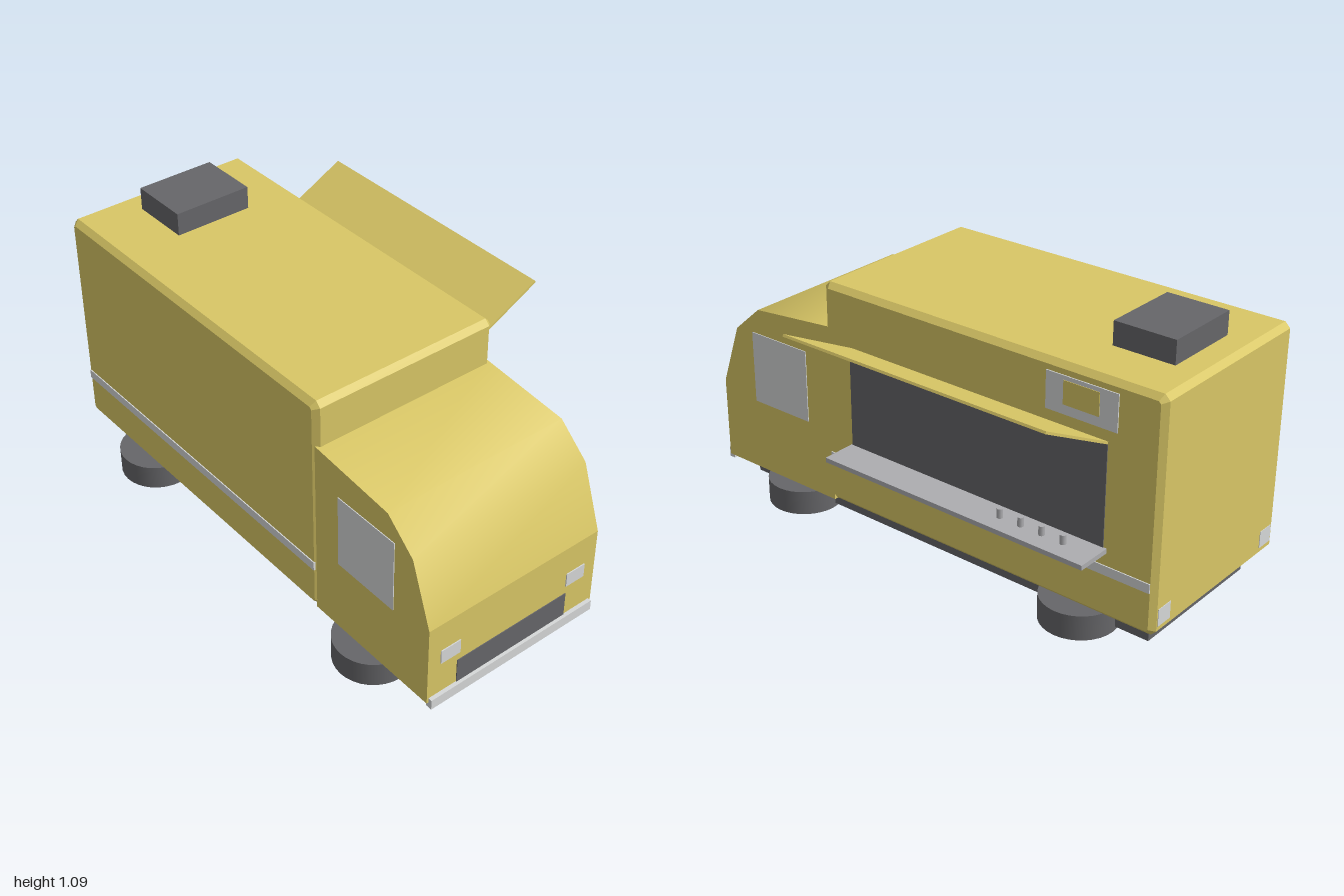
import * as THREE from 'three';
import { toCreasedNormals } from 'three/addons/utils/BufferGeometryUtils.js';

const material = (name, color, side = THREE.FrontSide) => {
  const m = new THREE.MeshStandardMaterial({ color, side });
  m.name = name;
  return m;
};

export function createModel() {
  const yellow = material('yellow paint', 0xd9c766);
  const dark = material('dark grey', 0x666669);
  const light = material('light grey', 0xd6d8d8, THREE.DoubleSide);
  const steel = material('steel grey', 0xadadb0);

  const model = new THREE.Group();
  model.name = 'foodTruck';
  const add = (name, geometry, mat, x = 0, y = 0, z = 0) => {
    const mesh = new THREE.Mesh(geometry, mat);
    mesh.name = name;
    mesh.position.set(x, y, z);
    model.add(mesh);
    return mesh;
  };
  // Box given by its limits on each axis
  const box = (name, mat, [x0, x1], [y0, y1], [z0, z1]) =>
    add(name, new THREE.BoxGeometry(x1 - x0, y1 - y0, z1 - z0), mat,
      (x0 + x1) / 2, (y0 + y1) / 2, (z0 + z1) / 2);
  const shapeOf = (points) => new THREE.Shape(points.map(([x, y]) => new THREE.Vector2(x, y)));

  // Cargo body with chamfers on every edge
  const c = 0.02, X0 = -1, X1 = 0.435, Y0 = 0.133, Y1 = 1, back = -0.247, front = 0.503;
  const rear = shapeOf([
    [X0 + c, Y0 + c], [X1 - c, Y0 + c], [X1 - c, Y1 - c], [X0 + c, Y1 - c],
  ]);
  const octagon = shapeOf([
    [X0 + c, Y0], [X1 - c, Y0], [X1, Y0 + c], [X1, Y1 - c],
    [X1 - c, Y1], [X0 + c, Y1], [X0, Y1 - c], [X0, Y0 + c],
  ]);
  rear.name = 'bodyFace';
  const bodyGeometry = new THREE.ExtrudeGeometry(octagon, {
    depth: front - back - 2 * c, bevelEnabled: true, bevelSegments: 1,
    bevelSize: c, bevelThickness: c, bevelOffset: -c,
  });
  add('cargoBody', bodyGeometry, yellow, 0, 0, back + c);

  // Cab: upright lower half and a rounded windscreen and roof above
  box('cabLower', yellow, [0.42, 0.985], [0.13, 0.45], [-0.24, 0.497]);
  const cabProfile = shapeOf([
    [0.42, 0.45], [0.985, 0.45], [0.9, 0.69], [0.78, 0.795], [0.42, 0.83],
  ]);
  const cabGeometry = new THREE.ExtrudeGeometry(cabProfile, { depth: 0.737, bevelEnabled: false });
  add('cabUpper', toCreasedNormals(cabGeometry, 0.7), yellow, 0, 0, -0.24);

  // Chassis, bumper and grille
  box('chassis', dark, [-0.93, 0.91], [0.05, 0.132], [-0.16, 0.42]);
  box('bumper', light, [0.975, 1], [0.11, 0.15], [-0.23, 0.49]);
  box('grille', dark, [0.982, 0.988], [0.15, 0.247], [-0.11, 0.373]);

  // Lights in mirrored pairs about the body's centre line
  const mid = 0.128;
  for (const s of [-1, 1]) {
    const span = (a, b) => [mid + s * a, mid + s * b].sort((p, q) => p - q);
    box('headlight', light, [0.982, 0.989], [0.28, 0.335], span(0.235, 0.317));
    box('tailLight', light, [-1.002, -0.995], [0.17, 0.235], span(0.28, 0.35));
  }

  // Side windows and trim stripes
  for (const [cabZ, bodyZ] of [[0.497, front], [-0.24, back]]) {
    box('cabWindow', light, [0.54, 0.815], [0.415, 0.698], [cabZ - 0.003, cabZ + 0.003]);
    box('trimStripe', light, [-0.98, 0.418], [0.3, 0.335], [bodyZ - 0.004, bodyZ + 0.004]);
  }

  // Flat-lying wheels with upright hub discs
  for (const x of [-0.655, 0.64]) {
    for (const s of [-1, 1]) {
      add('wheel', new THREE.CylinderGeometry(0.142, 0.142, 0.095, 32), dark, x, 0.0825, 0.13 + s * 0.302);
      add('hubDisc', new THREE.CircleGeometry(0.079, 24), light, x, 0.079, 0.131 + s * 0.351);
    }
  }

  // Roof vent
  box('roofVent', dark, [-0.893, -0.655], [0.99, 1.087], [-0.04, 0.265]);

  // Serving hatch, counter and raised awning
  box('servingHatch', dark, [-0.795, 0.31], [0.4, 0.78], [back - 0.003, back + 0.003]);
  box('counter', steel, [-0.808, 0.315], [0.382, 0.4], [-0.383, -0.24]);
  const rise = 0.165, run = 0.325;
  const awning = add('awning', new THREE.BoxGeometry(1.095, 0.009, Math.hypot(rise, run)), yellow,
    -0.248, 0.862, -0.411);
  awning.rotation.x = Math.atan2(rise, run);

  // Condiment bottles on the counter
  for (let i = 0; i < 4; i++) {
    add('bottle', new THREE.CylinderGeometry(0.011, 0.011, 0.035, 12), steel, -0.42 - i * 0.087, 0.4175, -0.312);
  }

  // Menu board beside the hatch
  box('menuBoard', light, [-0.83, -0.55], [0.825, 0.96], [back - 0.004, back + 0.002]);
  box('menuPanel', yellow, [-0.76, -0.62], [0.86, 0.945], [back - 0.006, back - 0.002]);

  return model;
}
